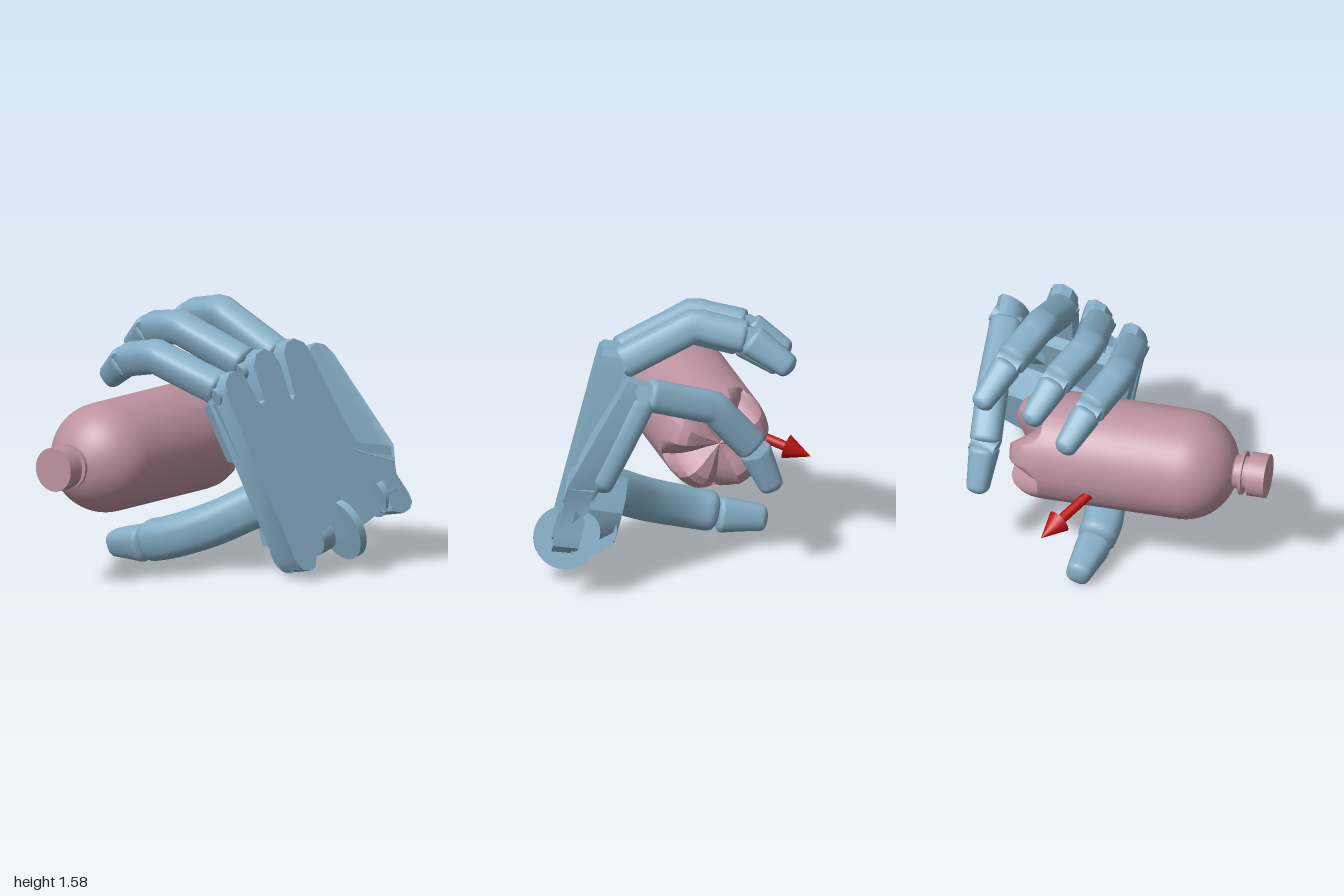
import * as THREE from 'three';
import { toCreasedNormals } from 'three/addons/utils/BufferGeometryUtils.js';

const V = (a) => new THREE.Vector3(...a);
const ACROSS = V([0.2, 0.3, -0.93]).normalize(); // across the knuckles, little finger to index

export function createModel() {
  const model = new THREE.Group();
  const blue = new THREE.MeshStandardMaterial({ color: 0x86aec6, side: THREE.DoubleSide });
  const pink = new THREE.MeshStandardMaterial({ color: 0xbd92a0, side: THREE.DoubleSide });
  const red = new THREE.MeshStandardMaterial({ color: 0xc01010 });

  const add = (name, geo, mat, parent = model) => {
    const m = new THREE.Mesh(geo, mat);
    m.name = name;
    parent.add(m);
    return m;
  };
  // cylinder (or cone) running from a to b
  const rod = (name, a, b, r0, r1, mat, parent, sides = 24) => {
    const d = b.clone().sub(a);
    const m = add(name, new THREE.CylinderGeometry(r1, r0, d.length(), sides), mat, parent);
    m.position.copy(a).addScaledVector(d, 0.5);
    m.quaternion.setFromUnitVectors(new THREE.Vector3(0, 1, 0), d.normalize());
  };
  // cylinder lying across the hand
  const disc = (name, c, r, w, parent = model) => rod(name, c.clone().addScaledVector(ACROSS, -w / 2),
    c.clone().addScaledVector(ACROSS, w / 2), r, r, blue, parent, 32);

  // slab of the tilted hand plane: outline in (z, y), between two depths,
  // optionally folded inwards above the knuckle line or tapered towards the inner face
  const slab = (name, pts, d0, d1, { fold = 0, taper = 1 } = {}) => {
    const outline = pts.map((p) => new THREE.Vector2(...p));
    const mid = new THREE.Box2().setFromPoints(outline).getCenter(new THREE.Vector2());
    const geo = new THREE.ExtrudeGeometry(new THREE.Shape(outline), { depth: 1, bevelEnabled: false });
    const pos = geo.attributes.position;
    for (let i = 0; i < pos.count; i++) {
      const t = pos.getZ(i), d = d0 + (d1 - d0) * t, k = 1 + (taper - 1) * t;
      const z = mid.x + (pos.getX(i) - mid.x) * k, y = mid.y + (pos.getY(i) - mid.y) * k;
      const x = 0.698 - 0.283 * y - 0.304 * z - fold * Math.max(0, y - 0.72);
      pos.setXYZ(i, x - d, y - 0.2 * d, z);
    }
    geo.computeVertexNormals();
    add(name, toCreasedNormals(geo, 0.6), blue);
  };

  // rounded-box limb lofted along a curve, with rounded ends
  const limb = (name, pts, r0, r1, parent, cap = 0.06, flat = 0.95) => {
    const curve = new THREE.CatmullRomCurve3(pts, false, 'centripetal');
    const L = curve.getLength(), rings = 32, sides = 20, pos = [], idx = [];
    for (let i = 0; i <= rings; i++) {
      const t = (1 - Math.cos(Math.PI * i / rings)) / 2;
      const c = curve.getPointAt(t), T = curve.getTangentAt(t);
      const e = 1 - Math.min(1, Math.min(t, 1 - t) * L / cap);
      const r = THREE.MathUtils.lerp(r0, r1, t) * Math.sqrt(Math.max(0, 1 - e * e));
      const S = ACROSS.clone().addScaledVector(T, -ACROSS.dot(T)).normalize();
      const B = T.clone().cross(S);
      for (let j = 0; j < sides; j++) {
        const a = j / sides * 2 * Math.PI, k = Math.cos(a), s = Math.sin(a);
        const p = c.clone()
          .addScaledVector(S, r * flat * Math.sign(k) * Math.abs(k) ** 0.75)
          .addScaledVector(B, r * Math.sign(s) * Math.abs(s) ** 0.75);
        pos.push(p.x, p.y, p.z);
        if (i < rings) {
          const q = i * sides, j2 = (j + 1) % sides;
          idx.push(q + j, q + j2, q + sides + j2, q + j, q + sides + j2, q + sides + j);
        }
      }
    }
    const geo = new THREE.BufferGeometry();
    geo.setAttribute('position', new THREE.Float32BufferAttribute(pos, 3));
    geo.setIndex(idx);
    geo.computeVertexNormals();
    add(name, geo, blue, parent);
  };

  // palm plate with three knuckle prongs and a notched wrist edge
  slab('palm', [
    [0.11, 1.13], [0.1, 1.2], [0.06, 1.25], [0.01, 1.26], [-0.04, 1.22], [-0.095, 1.07], [-0.115, 1.05], [-0.14, 1.07],
    [-0.115, 1.27], [-0.15, 1.34], [-0.21, 1.365], [-0.27, 1.33], [-0.3, 1.25], [-0.315, 1.08], [-0.33, 1.05],
    [-0.35, 1.08], [-0.34, 1.32], [-0.37, 1.38], [-0.43, 1.4], [-0.49, 1.37], [-0.52, 1.31], [-0.63, 0.95],
    [-0.7, 0.76], [-0.935, 0.71], [-0.92, 0.55], [-0.975, 0.43], [-0.985, 0.38], [-0.96, 0.34], [-0.91, 0.32],
    [-0.84, 0.34], [-0.83, 0.53], [-0.74, 0.5], [-0.74, 0.34], [-0.66, 0.3],
    [-0.45, 0.22], [-0.42, 0.32], [-0.34, 0.28], [-0.32, 0.18], [-0.26, 0.15],
    [-0.235, 0.08], [-0.19, 0.065], [-0.15, 0.075], [-0.11, 0.13]], 0, 0.155);
  // ridge under the knuckles
  slab('knuckleRidge', [[0.11, 1.09], [0.09, 1.01], [0.02, 0.72], [-0.57, 0.78], [-0.57, 1.08]], 0.1, 0.235, { taper: 0.88 });
  // index prong, folded towards the grip, with a rounded inner side
  slab('indexProng', [
    [-0.52, 0.8], [-0.62, 0.88], [-0.64, 1.2], [-0.66, 1.26], [-0.7, 1.3], [-0.74, 1.315], [-0.79, 1.3],
    [-0.825, 1.24], [-0.935, 0.72], [-0.92, 0.62], [-0.7, 0.7]], -0.01, 0.17, { fold: 0.35, taper: 0.93 });
  limb('indexProngCore', [[0.62, 0.66, -0.82], [0.44, 0.93, -0.78], [0.27, 1.2, -0.74]].map(V), 0.12, 0.1, model);
  // thick heel inside the palm
  slab('palmHeel', [
    [-0.16, 0.18], [-0.3, 0.2], [-0.6, 0.27], [-0.9, 0.36], [-0.95, 0.46], [-0.92, 0.6], [-0.8, 0.68],
    [-0.4, 0.68], [-0.15, 0.6]], 0.08, 0.37, { taper: 0.78 });
  disc('wristBarrel', V([0.54, 0.31, -0.55]), 0.14, 0.62);

  // wrist hinge lugs
  disc('wristDisc', V([0.7, 0.26, -0.55]), 0.19, 0.05);
  disc('outerWristLug', V([0.58, 0.155, -0.19]), 0.115, 0.1);
  disc('middleWristLug', V([0.62, 0.24, -0.4]), 0.12, 0.1);
  disc('innerWristLug', V([0.71, 0.42, -0.89]), 0.13, 0.11);

  // fingers: hinge, middle knuckle, end joint, tip
  const fingers = {
    littleFinger: [[0.27, 1.13, 0.03], [-0.22, 1.29, 0.07], [-0.52, 1.22, -0.04], [-0.75, 1.06, -0.15]],
    ringFinger: [[0.29, 1.25, -0.18], [-0.2, 1.44, -0.13], [-0.5, 1.38, -0.25], [-0.73, 1.22, -0.36]],
    middleFinger: [[0.35, 1.27, -0.42], [-0.13, 1.49, -0.44], [-0.43, 1.42, -0.55], [-0.67, 1.24, -0.68]],
    indexFinger: [[0.27, 1.2, -0.74], [-0.17, 1.06, -0.71], [-0.42, 0.78, -0.7], [-0.54, 0.5, -0.72]],
  };
  for (const [name, raw] of Object.entries(fingers)) {
    const g = new THREE.Group();
    g.name = name;
    model.add(g);
    const [a, b, c, d] = raw.map(V);
    const mix = (p, q, t) => p.clone().lerp(q, t);
    limb('fingerBody', [mix(a, b, 0.03), mix(a, b, 0.5), mix(a, b, 0.85), b, mix(b, c, 0.25), c],
      0.1, 0.1, g, 0.03);
    limb('fingertip', [mix(c, d, -0.03), mix(c, d, 0.5), d], 0.102, 0.07, g, 0.045, 0.9);
    disc('jointPin', c, 0.07, 0.15, g);
    disc('knucklePin', a, 0.055, 0.18, g);
  }

  // thumb
  const thumb = new THREE.Group();
  thumb.name = 'thumb';
  model.add(thumb);
  limb('thumbBody', [[0.5, 0.48, -0.34], [0.36, 0.435, -0.27], [0.08, 0.285, -0.11], [-0.18, 0.185, -0.03],
    [-0.38, 0.135, -0.04]].map(V), 0.14, 0.122, thumb, 0.06);
  limb('thumbTip', [[-0.36, 0.125, -0.04], [-0.52, 0.105, -0.06], [-0.67, 0.08, -0.08]].map(V), 0.115, 0.075, thumb, 0.04);

  // bottle, turned along z
  const bottle = new THREE.Group();
  bottle.name = 'bottle';
  bottle.position.set(-0.27, 0.74, 0);
  bottle.rotation.x = Math.PI / 2;
  model.add(bottle);
  const prof = [[0, -0.48], [0.08, -0.5], [0.16, -0.53], [0.22, -0.535], [0.27, -0.51], [0.305, -0.46],
    [0.325, -0.4], [0.33, -0.34], [0.33, 0.5]];
  for (let i = 1; i <= 10; i++) {
    const a = i / 10 * 1.25;
    prof.push([0.33 * Math.cos(a), 0.5 + 0.315 * Math.sin(a)]);
  }
  prof.push([0.1, 0.805], [0.1, 0.9]);
  const body = new THREE.LatheGeometry(prof.map((p) => new THREE.Vector2(...p)), 60);
  // five V-shaped grooves pressed into the base
  const bp = body.attributes.position;
  for (let i = 0; i < bp.count; i++) {
    const x = bp.getX(i), y = bp.getY(i), z = bp.getZ(i), r = Math.hypot(x, z);
    if (y > -0.35) continue;
    const offset = Math.abs(Math.asin(Math.sin(2.5 * Math.atan2(x, z)))) / 2.5;
    const groove = Math.max(0, 1 - offset / 0.42);
    bp.setY(i, y + 0.15 * groove * Math.min(1, r / 0.25) * Math.min(1, (-0.34 - y) / 0.1));
  }
  add('bottleBody', toCreasedNormals(body, 0.4), pink, bottle);
  add('neckRing', new THREE.CylinderGeometry(0.132, 0.132, 0.018, 40), pink, bottle).position.y = 0.85;
  add('cap', new THREE.CylinderGeometry(0.132, 0.132, 0.11, 40), pink, bottle).position.y = 0.945;

  // direction arrow
  const arrow = new THREE.Group();
  arrow.name = 'arrow';
  model.add(arrow);
  const neck = V([-0.765, 0.557, -0.16]);
  rod('arrowShaft', V([-0.27, 0.74, 0.16]), neck, 0.03, 0.03, red, arrow, 16);
  rod('arrowHead', neck, V([-0.895, 0.51, -0.24]), 0.075, 0, red, arrow, 20);

  return model;
}
